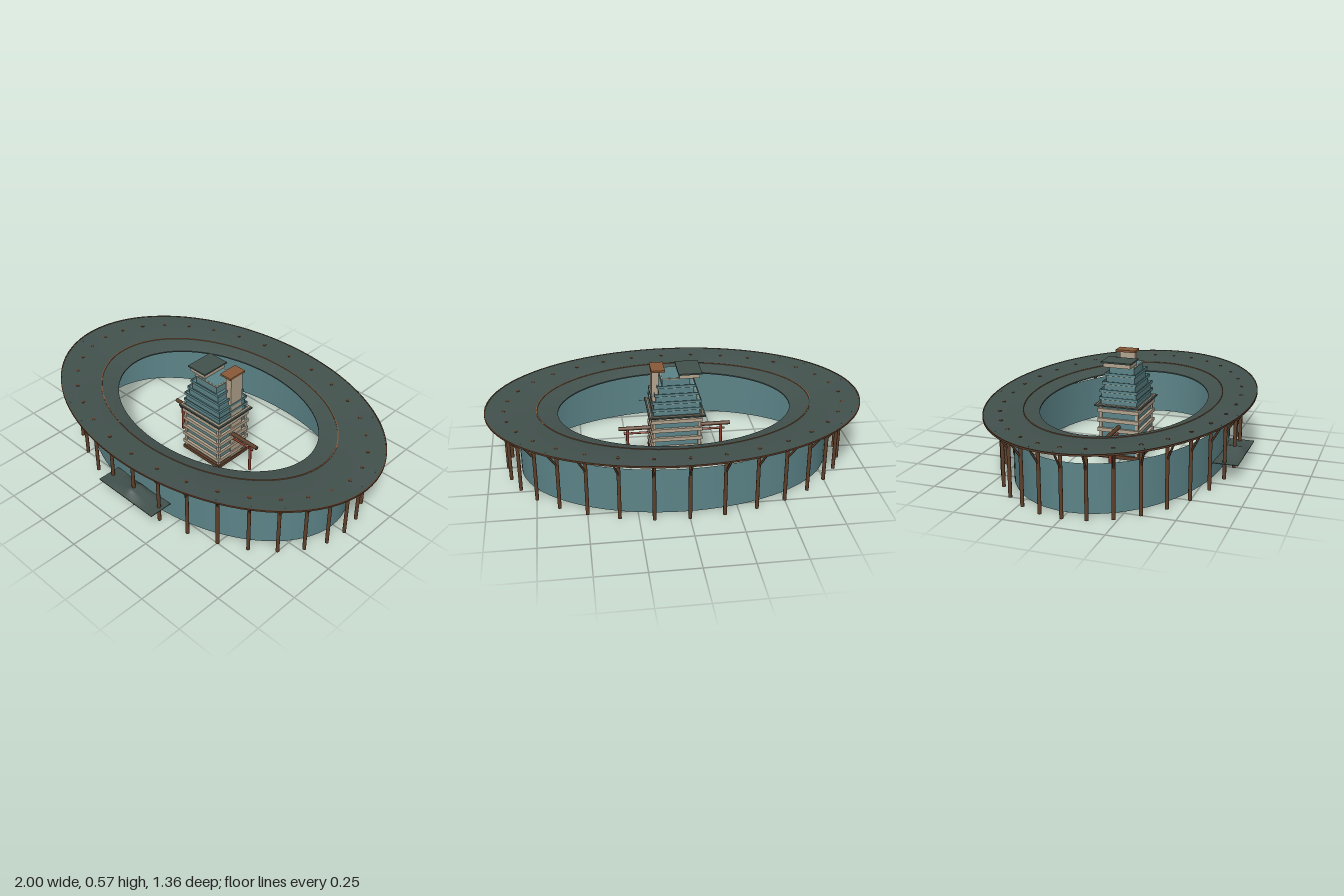
import * as THREE from 'three';
import { toCreasedNormals } from 'three/addons/utils/BufferGeometryUtils.js';

const mat = (color, side = THREE.FrontSide) => new THREE.MeshStandardMaterial({ color, side });
const MAT = {
  roof: mat(0x43524e, THREE.DoubleSide),
  glass: mat(0x5c8488, THREE.DoubleSide),
  wood: mat(0x5e3f2a),
  cream: mat(0xb3a48e),
  cap: mat(0x8a5a38),
  red: mat(0x8f3a28),
};

function add(parent, name, geometry, material, x = 0, y = 0, z = 0) {
  const mesh = new THREE.Mesh(geometry, material);
  mesh.name = name;
  mesh.position.set(x, y, z);
  parent.add(mesh);
  return mesh;
}

// box given by its lower and upper corners
function box(parent, name, material, [x0, y0, z0], [x1, y1, z1]) {
  return add(parent, name, new THREE.BoxGeometry(x1 - x0, y1 - y0, z1 - z0), material,
    (x0 + x1) / 2, (y0 + y1) / 2, (z0 + z1) / 2);
}

// round bar between two points
function bar(parent, name, material, a, b, r, sides = 8) {
  const dir = b.clone().sub(a);
  const mesh = add(parent, name, new THREE.CylinderGeometry(r, r, dir.length(), sides), material);
  mesh.position.copy(a).add(b).multiplyScalar(0.5);
  mesh.quaternion.setFromUnitVectors(new THREE.Vector3(0, 1, 0), dir.normalize());
  return mesh;
}

// elliptical ring swept from a radius/height profile
function ellipseRing(profile, ratio) {
  const points = profile.map(([r, y]) => new THREE.Vector2(r, y));
  return toCreasedNormals(new THREE.LatheGeometry(points, 96).scale(1, 1, ratio), 0.25);
}

// rectangular hollow frame lying flat
function frame(hx, hz, t, h) {
  const rect = (target, a, b) => target.moveTo(-a, -b).lineTo(a, -b).lineTo(a, b).lineTo(-a, b).closePath();
  const shape = rect(new THREE.Shape(), hx, hz);
  shape.holes.push(rect(new THREE.Path(), hx - t, hz - t));
  return new THREE.ExtrudeGeometry(shape, { depth: h, bevelEnabled: false }).rotateX(-Math.PI / 2);
}

function buildRingHall() {
  const hall = new THREE.Group();
  hall.name = 'ringHall';
  // roof dips gently, then steeply, towards the courtyard
  add(hall, 'ringRoof', ellipseRing([
    [0.62, 0.306], [0.73, 0.331], [0.91, 0.337], [0.998, 0.345], [0.998, 0.351],
    [0.91, 0.346], [0.73, 0.338], [0.62, 0.313], [0.62, 0.306]], 0.68), MAT.roof);
  add(hall, 'roofEdgeTrim', ellipseRing([
    [0.994, 0.344], [1, 0.344], [1, 0.353], [0.994, 0.353], [0.994, 0.344]], 0.68), MAT.wood);
  add(hall, 'roofSeamTrim', ellipseRing([
    [0.726, 0.334], [0.732, 0.334], [0.732, 0.341], [0.726, 0.341], [0.726, 0.334]], 0.682), MAT.cap);
  add(hall, 'glassWall', ellipseRing([[0.83, 0.002], [0.83, 0.25]], 0.65), MAT.glass);

  // posts with braces leaning out to the eaves
  const count = 32;
  for (let i = 0; i < count; i++) {
    const a = (i / count) * Math.PI * 2;
    const at = (rx, rz, y) => new THREE.Vector3(rx * Math.sin(a), y, rz * Math.cos(a));
    bar(hall, 'post', MAT.wood, at(0.9, 0.598, 0), at(0.9, 0.598, 0.347), 0.0095, 10);
    bar(hall, 'brace', MAT.wood, at(0.9, 0.598, 0.245), at(0.975, 0.663, 0.347), 0.0055, 6);
  }
  return hall;
}

function buildTower() {
  const tower = new THREE.Group();
  tower.name = 'tower';
  box(tower, 'plinth', MAT.wood, [-0.135, 0.02, -0.115], [0.135, 0.04, 0.115]);
  box(tower, 'lowerGlass', MAT.glass, [-0.122, 0.04, -0.1], [0.122, 0.31, 0.1]);
  // balcony bands and corner piers of the lower floors
  for (let i = 0; i < 5; i++) {
    const y = 0.06 + i * 0.053;
    box(tower, 'balconyBand', MAT.cream, [-0.135, y, -0.115], [0.135, y + 0.02, 0.115]);
  }
  for (const x of [-0.12, 0.12]) for (const z of [-0.1, 0.1])
    box(tower, 'cornerPier', MAT.cream, [x - 0.008, 0.04, z - 0.008], [x + 0.008, 0.31, z + 0.008]);
  box(tower, 'eaves', MAT.roof, [-0.15, 0.307, -0.128], [0.15, 0.314, 0.128]);
  add(tower, 'eavesRim', frame(0.142, 0.12, 0.008, 0.004), MAT.cream, 0, 0.314, 0);

  // stepped upper tiers, each with a glass rail
  const tiers = [
    [0.13, 0.105, 0.314, 0.345], [0.128, 0.102, 0.345, 0.385], [0.115, 0.092, 0.385, 0.425],
    [0.1, 0.083, 0.425, 0.468], [0.08, 0.074, 0.468, 0.515]];
  tiers.forEach(([hx, hz, y0, y1], i) => {
    box(tower, 'tier', MAT.glass, [-hx + 0.006, y0, -hz + 0.006], [hx - 0.006, y1, hz - 0.006]);
    add(tower, 'tierSill', frame(hx, hz, 0.01, 0.005), MAT.cream, 0, y1 - 0.006, 0);
    if (i < 4) add(tower, 'tierRail', frame(hx + 0.002, hz + 0.002, 0.003, 0.015), MAT.glass, 0, y1 - 0.004, 0);
  });

  // rooftop pavilion and lift shaft
  box(tower, 'pavilion', MAT.cream, [-0.122, 0.515, -0.085], [-0.016, 0.54, 0.062]);
  box(tower, 'pavilionRoof', MAT.roof, [-0.133, 0.538, -0.095], [-0.01, 0.546, 0.07]);
  box(tower, 'shaft', MAT.cream, [0.092, 0.04, -0.068], [0.128, 0.557, 0.016]);
  box(tower, 'shaftCap', MAT.cap, [0.06, 0.556, -0.083], [0.131, 0.567, 0.027]);
  return tower;
}

function buildSideGate(s) {
  const gate = new THREE.Group();
  gate.name = s > 0 ? 'leftGate' : 'rightGate';
  const v = (x, y, z = 0) => new THREE.Vector3(s * x, y, z);
  bar(gate, 'gateBeam', MAT.wood, v(0.12, 0.195), v(0.303, 0.195), 0.011, 10);
  bar(gate, 'gateTie', MAT.red, v(0.12, 0.165), v(0.275, 0.165), 0.006);
  bar(gate, 'gatePost', MAT.red, v(0.255, 0.02), v(0.255, 0.19), 0.008);
  return gate;
}

function buildEntrance() {
  const entrance = new THREE.Group();
  entrance.name = 'entrance';
  // sweeping canopy: concave across its width, pinched front to back at the ridge
  const sheet = new THREE.PlaneGeometry(0.4, 0.13, 24, 8).rotateX(-Math.PI / 2);
  const p = sheet.attributes.position;
  for (let i = 0; i < p.count; i++) {
    const u = 1 - Math.abs(p.getX(i)) / 0.2;
    const w = Math.abs(p.getZ(i)) / 0.065;
    p.setY(i, 0.088 + 0.034 * u * u * Math.min(1, (1 - w) * 2.2));
  }
  sheet.computeVertexNormals();
  add(entrance, 'canopy', sheet, MAT.roof, 0, 0, 0.596);
  box(entrance, 'canopyEdge', MAT.roof, [-0.2, 0.085, 0.531], [0.2, 0.089, 0.661]);
  box(entrance, 'upperLintel', MAT.red, [-0.105, 0.066, 0.618], [0.105, 0.08, 0.63]);
  box(entrance, 'lowerLintel', MAT.cap, [-0.095, 0.052, 0.57], [0.095, 0.058, 0.576]);
  for (const x of [-0.085, 0.085])
    bar(entrance, 'entrancePost', MAT.wood, new THREE.Vector3(x, 0, 0.573), new THREE.Vector3(x, 0.086, 0.573), 0.004);
  return entrance;
}

export function createModel() {
  const model = new THREE.Group();
  model.name = 'ringPavilion';
  model.add(buildRingHall(), buildTower(), buildSideGate(1), buildSideGate(-1), buildEntrance());
  return model;
}
